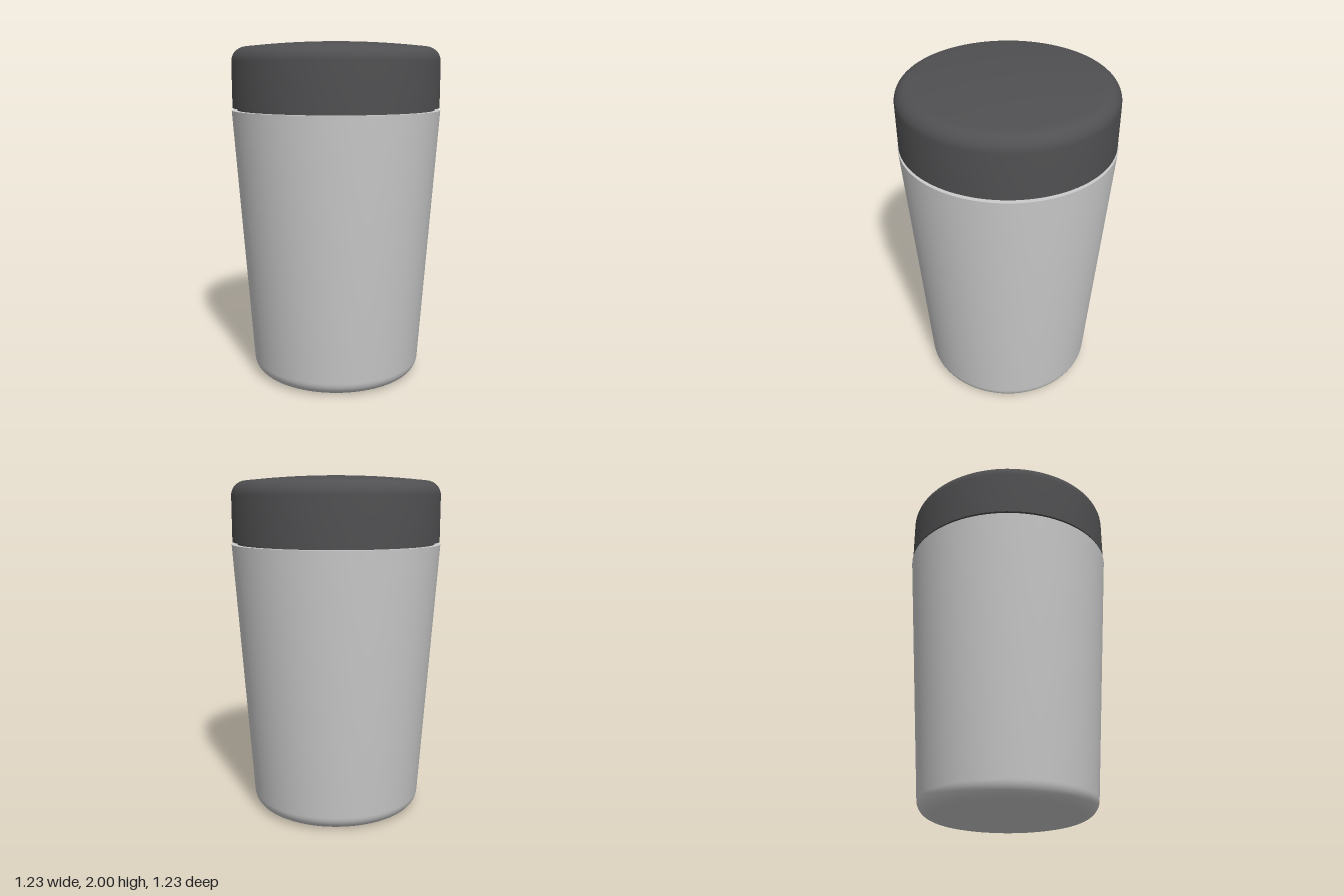
import * as THREE from 'three';
import { toCreasedNormals } from 'three/addons/utils/BufferGeometryUtils.js';

const SEGMENTS = 96;

// Quarter-round points between two angles, for rounded profile corners
function arc(cx, cy, r, from, to, steps = 10) {
  return Array.from({ length: steps + 1 }, (_, i) => {
    const a = from + (to - from) * i / steps;
    return [cx + r * Math.cos(a), cy + r * Math.sin(a)];
  });
}

// Turn a bottom-to-top outline into a smooth solid with sharp rims
function turned(name, outline, color) {
  const points = outline.map(([x, y]) => new THREE.Vector2(x, y));
  const geometry = toCreasedNormals(new THREE.LatheGeometry(points, SEGMENTS), 0.5);
  const mesh = new THREE.Mesh(geometry, new THREE.MeshStandardMaterial({ color }));
  mesh.name = name;
  return mesh;
}

export function createModel() {
  const group = new THREE.Group();
  group.name = 'lidded cup';
  const dark = 0x505052;

  // Tapered cup with a rounded base and a flat rim
  group.add(turned('cupBody', [
    [0, 0],
    ...arc(0.42, 0.09, 0.09, -Math.PI / 2, -0.07),
    [0.617, 1.605],
    [0, 1.605],
  ], 0xcccccc));

  // Recessed neck showing in the gap below the lid
  group.add(turned('lidNeck', [[0, 1.59], [0.582, 1.59], [0.582, 1.63], [0, 1.63]], dark));

  // Lid with a rounded shoulder and a shallow domed top
  const dome = Array.from({ length: 12 }, (_, i) => {
    const t = 1 - (i + 1) / 12;
    return [0.527 * t, 2 - 0.03 * t * t];
  });
  group.add(turned('lid', [
    [0, 1.62],
    [0.612, 1.62],
    ...arc(0.527, 1.885, 0.085, 0, Math.PI / 2 - 0.11),
    ...dome,
  ], dark));

  return group;
}
